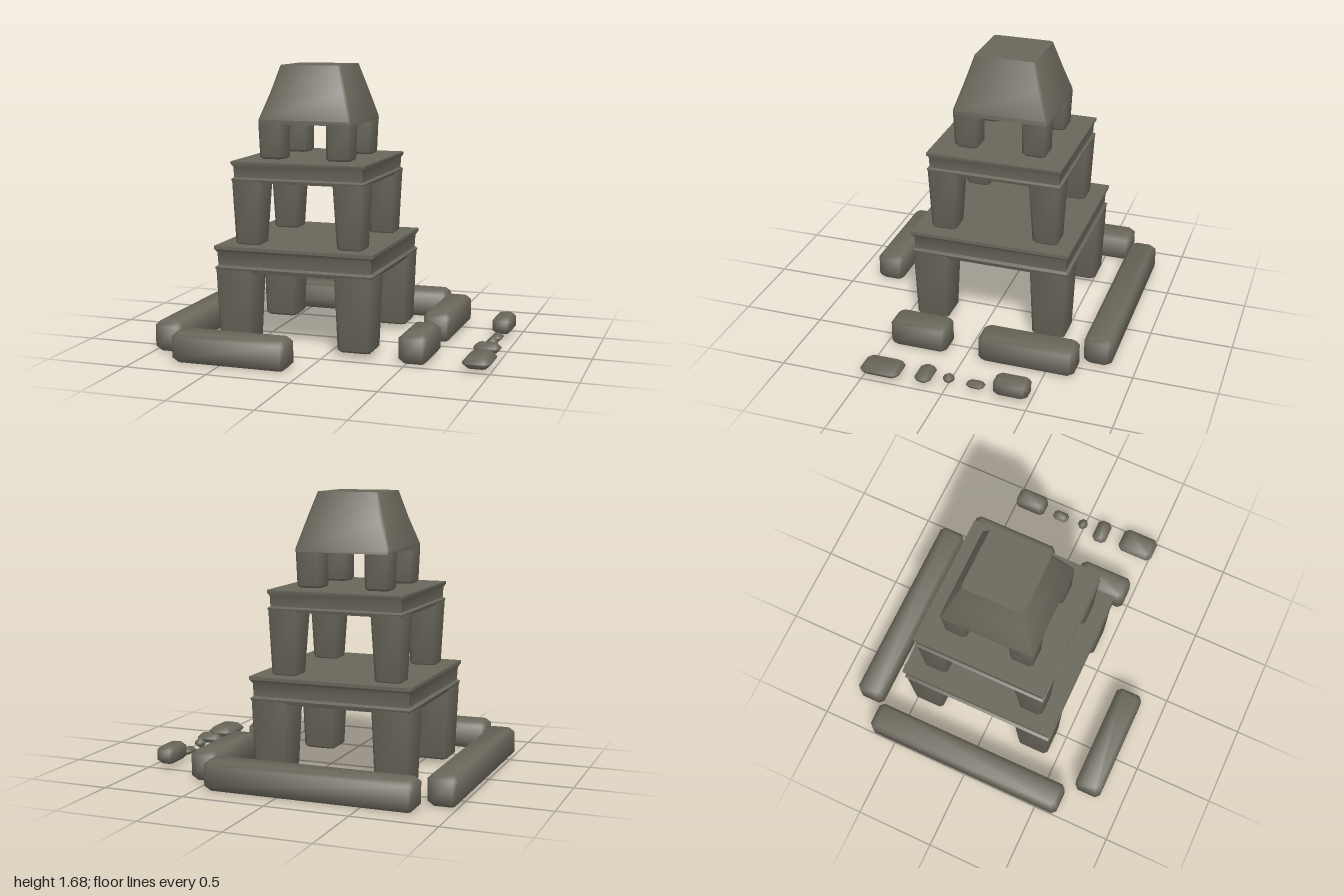
import * as THREE from 'three';
import { toCreasedNormals } from 'three/addons/utils/BufferGeometryUtils.js';

const stone = new THREE.MeshStandardMaterial({ color: 0x69665a });
stone.name = 'mossy stone';

// Closed loft through horizontal rectangles with cut corners: [y, x0, x1, z0, z1, cut]
function loft(name, rings, crease) {
  const pos = [], index = [], n = 8;
  for (const [y, x0, x1, z0, z1, c] of rings) {
    const outline = [
      [x1, z0 + c], [x1, z1 - c], [x1 - c, z1], [x0 + c, z1],
      [x0, z1 - c], [x0, z0 + c], [x0 + c, z0], [x1 - c, z0],
    ];
    for (const [x, z] of outline) pos.push(x, y, z);
  }
  for (let r = 0; r < rings.length - 1; r++) {
    for (let k = 0; k < n; k++) {
      const a = r * n + k, b = r * n + (k + 1) % n;
      index.push(a, a + n, b, b, a + n, b + n);
    }
  }
  const top = (rings.length - 1) * n;
  for (let k = 1; k < n - 1; k++) {
    index.push(0, k, k + 1);
    index.push(top, top + k + 1, top + k);
  }
  const geo = new THREE.BufferGeometry();
  geo.setAttribute('position', new THREE.Float32BufferAttribute(pos, 3));
  geo.setIndex(index);
  const mesh = new THREE.Mesh(toCreasedNormals(geo, crease), stone);
  mesh.name = name;
  return mesh;
}

// Worn block with all edges cut
function block(name, [x0, x1, y0, y1, z0, z1], c) {
  return loft(name, [
    [y0, x0 + c, x1 - c, z0 + c, z1 - c, c * 0.6],
    [y0 + c, x0, x1, z0, z1, c],
    [y1 - c, x0, x1, z0, z1, c],
    [y1, x0 + c, x1 - c, z0 + c, z1 - c, c * 0.6],
  ], 1.1);
}

// Centred square stack from [y, half width] pairs
function stack(name, profile) {
  return loft(name, profile.map(([y, h]) => [y, -h, h, -h, h, 0.004]), 0.6);
}

// Four tapered legs; each end is [y, inner, outer] measured from the tower axis
function legs(name, bottom, top) {
  const group = new THREE.Group();
  group.name = name;
  for (const sx of [-1, 1]) for (const sz of [-1, 1]) {
    const ring = ([y, inner, outer], c) => {
      const span = s => (s > 0 ? [inner, outer] : [-outer, -inner]);
      return [y, ...span(sx), ...span(sz), c];
    };
    const sunk = [bottom[0] + 0.012, bottom[1], bottom[2]];
    const base = [bottom[0], bottom[1] + 0.01, bottom[2] - 0.01];
    group.add(loft('leg', [ring(base, 0.02), ring(sunk, 0.02), ring(top, 0.012)], 0.9));
  }
  return group;
}

export function createModel() {
  const model = new THREE.Group();
  model.name = 'stone shrine';

  const tower = new THREE.Group();
  tower.name = 'tower';
  tower.position.set(-0.195, 0, -0.045);
  model.add(tower);

  // Lower storey
  tower.add(legs('lowerLegs', [0.03, 0.27, 0.475], [0.485, 0.255, 0.488]));
  tower.add(stack('lowerSlab', [
    [0.465, 0.482], [0.49, 0.492], [0.503, 0.476], [0.58, 0.48], [0.6, 0.495], [0.62, 0.495],
  ]));

  // Middle storey
  tower.add(legs('middleLegs', [0.615, 0.24, 0.398], [1.01, 0.22, 0.412]));
  tower.add(stack('middleSlab', [
    [0.995, 0.408], [1.014, 0.414], [1.024, 0.4], [1.085, 0.403], [1.105, 0.415], [1.12, 0.415],
  ]));

  // Top storey and its tapered cap
  tower.add(legs('topLegs', [1.125, 0.135, 0.285], [1.345, 0.138, 0.29]));
  tower.add(loft('cap', [
    [1.335, -0.288, 0.292, -0.292, 0.288, 0.01],
    [1.36, -0.288, 0.29, -0.288, 0.29, 0.012],
    [1.52, -0.235, 0.245, -0.24, 0.236, 0.02],
    [1.682, -0.185, 0.192, -0.188, 0.185, 0.012],
  ], 0.8));

  // Low wall logs around the tower
  const wall = new THREE.Group();
  wall.name = 'wall';
  for (const box of [
    [-0.81, 0.45, 0, 0.177, -0.855, -0.685],
    [-1, -0.825, 0, 0.18, -0.67, 0.64],
    [-0.79, -0.09, 0.003, 0.18, 0.68, 0.852],
    [0.455, 0.627, 0, 0.178, -0.672, -0.085],
    [0.455, 0.627, 0.003, 0.178, 0.115, 0.468],
  ]) wall.add(block('wallBlock', box, 0.026));
  model.add(wall);

  // Row of loose stones beside the wall
  const stones = new THREE.Group();
  stones.name = 'looseStones';
  for (const [box, c] of [
    [[0.842, 0.958, 0.025, 0.13, -0.492, -0.288], 0.022],
    [[0.867, 0.935, 0.02, 0.06, -0.225, -0.118], 0.018],
    [[0.873, 0.938, 0.022, 0.08, -0.04, 0.022], 0.021],
    [[0.828, 0.985, 0.025, 0.082, 0.085, 0.182], 0.024],
    [[0.838, 1, 0.02, 0.085, 0.275, 0.515], 0.028],
  ]) stones.add(block('looseStone', box, c));
  model.add(stones);

  return model;
}
